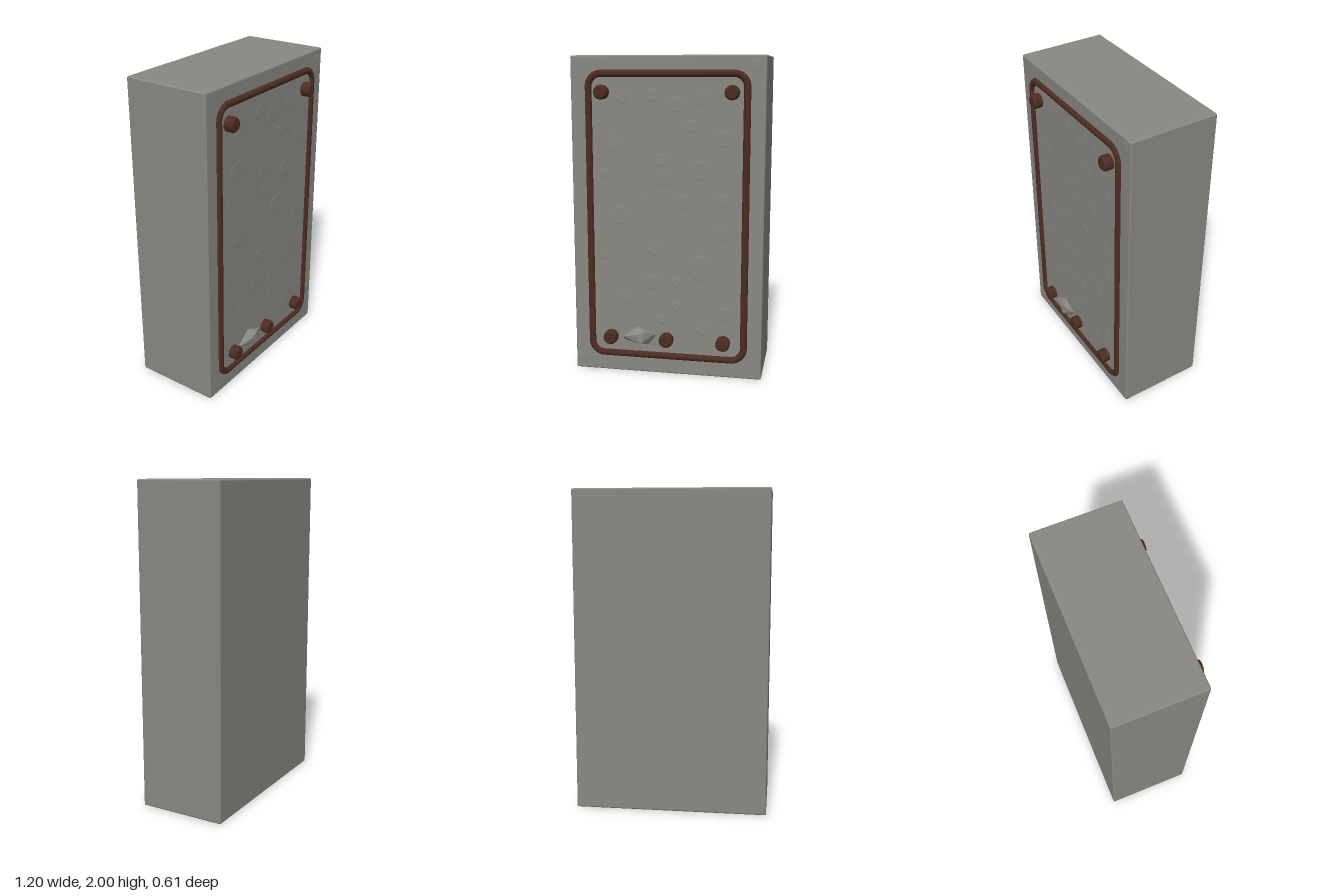
import * as THREE from 'three';
import { RoundedBoxGeometry } from 'three/addons/geometries/RoundedBoxGeometry.js';
import { ConvexGeometry } from 'three/addons/geometries/ConvexGeometry.js';

const FACE = 0.25; // z of the front face

export function createModel() {
  const group = new THREE.Group();
  const material = (name, color) => {
    const m = new THREE.MeshStandardMaterial({ color });
    m.name = name;
    return m;
  };
  const stone = material('grey stone', 0x8a8882);
  const rust = material('rusty brown iron', 0x4c2c22);
  const add = (name, geometry, mat, x = 0, y = 0, z = 0) => {
    const mesh = new THREE.Mesh(geometry, mat);
    mesh.name = name;
    mesh.position.set(x, y, z);
    group.add(mesh);
    return mesh;
  };

  // Stone slab
  add('slab', new RoundedBoxGeometry(1.2, 2, 0.555, 2, 0.01), stone, 0, 1, FACE - 0.2775);

  // Rounded frame: a ring whose four quarters are pulled apart into corners
  const segments = 36, radius = 0.08;
  const ring = new THREE.TorusGeometry(radius, 0.0225, 10, segments);
  ring.rotateZ(Math.PI / segments);
  const p = ring.attributes.position;
  for (let i = 0; i < p.count; i++) {
    p.setX(i, p.getX(i) + Math.sign(p.getX(i)) * (0.488 - radius));
    p.setY(i, p.getY(i) + Math.sign(p.getY(i)) * (0.8875 - radius));
  }
  add('frame', ring, rust, 0, 1.005, FACE - 0.0025);

  // Bolts with a chamfered head
  const profile = [[0.045, -0.01], [0.045, 0.043], [0.036, 0.055], [0, 0.055]]
    .map(([r, h]) => new THREE.Vector2(r, h));
  const bolt = new THREE.LatheGeometry(profile, 12).toNonIndexed();
  bolt.computeVertexNormals();
  bolt.rotateX(Math.PI / 2);
  for (const [x, y] of [[-0.4, 1.78], [0.4, 1.78], [-0.36, 0.23], [0, 0.23], [0.36, 0.23]]) {
    add('bolt', bolt, rust, x, y, FACE);
  }

  // Stone shard stuck to the face
  const shard = [
    [-0.29, 0.23, 0.25], [-0.19, 0.303, 0.25], [-0.07, 0.25, 0.25], [-0.12, 0.187, 0.25],
    [-0.27, 0.212, 0.25], [-0.085, 0.262, 0.268], [-0.135, 0.28, 0.29],
    [-0.16, 0.2, 0.295], [-0.2, 0.255, 0.292], [-0.28, 0.235, 0.268],
  ].map((v) => new THREE.Vector3(...v));
  add('shard', new ConvexGeometry(shard), stone);

  // Very shallow raised patches roughening the face: x, y, radius
  const patches = [
    [-0.28, 1.75, 0.04], [-0.09, 1.76, 0.04], [0.05, 1.71, 0.05], [0.22, 1.74, 0.04],
    [0.15, 1.58, 0.04], [-0.33, 1.47, 0.05], [0.35, 1.5, 0.05], [-0.04, 1.37, 0.04],
    [0.2, 1.31, 0.06], [-0.02, 1.25, 0.04], [-0.4, 1.28, 0.03], [0.1, 1.11, 0.05],
    [-0.13, 1.11, 0.03], [0.35, 1.13, 0.04], [-0.3, 1.02, 0.06], [0.34, 0.92, 0.04],
    [-0.08, 0.81, 0.04], [-0.41, 0.76, 0.03], [0.22, 0.7, 0.09], [-0.1, 0.6, 0.05],
    [0.06, 0.6, 0.03], [0.06, 0.45, 0.03], [-0.28, 0.48, 0.04], [-0.03, 0.36, 0.03],
    [0.24, 0.31, 0.05], [0.37, 0.41, 0.05], [0.54, 1.94, 0.035], [-0.54, 0.075, 0.03],
  ];
  patches.forEach(([x, y, r], i) => {
    const patch = new THREE.CylinderGeometry(r * 0.9, r, 0.002, 8 + (i % 3)).rotateX(Math.PI / 2);
    add('roughPatch', patch, stone, x, y, FACE + 0.0005).rotation.z = i * 0.7;
  });

  return group;
}
